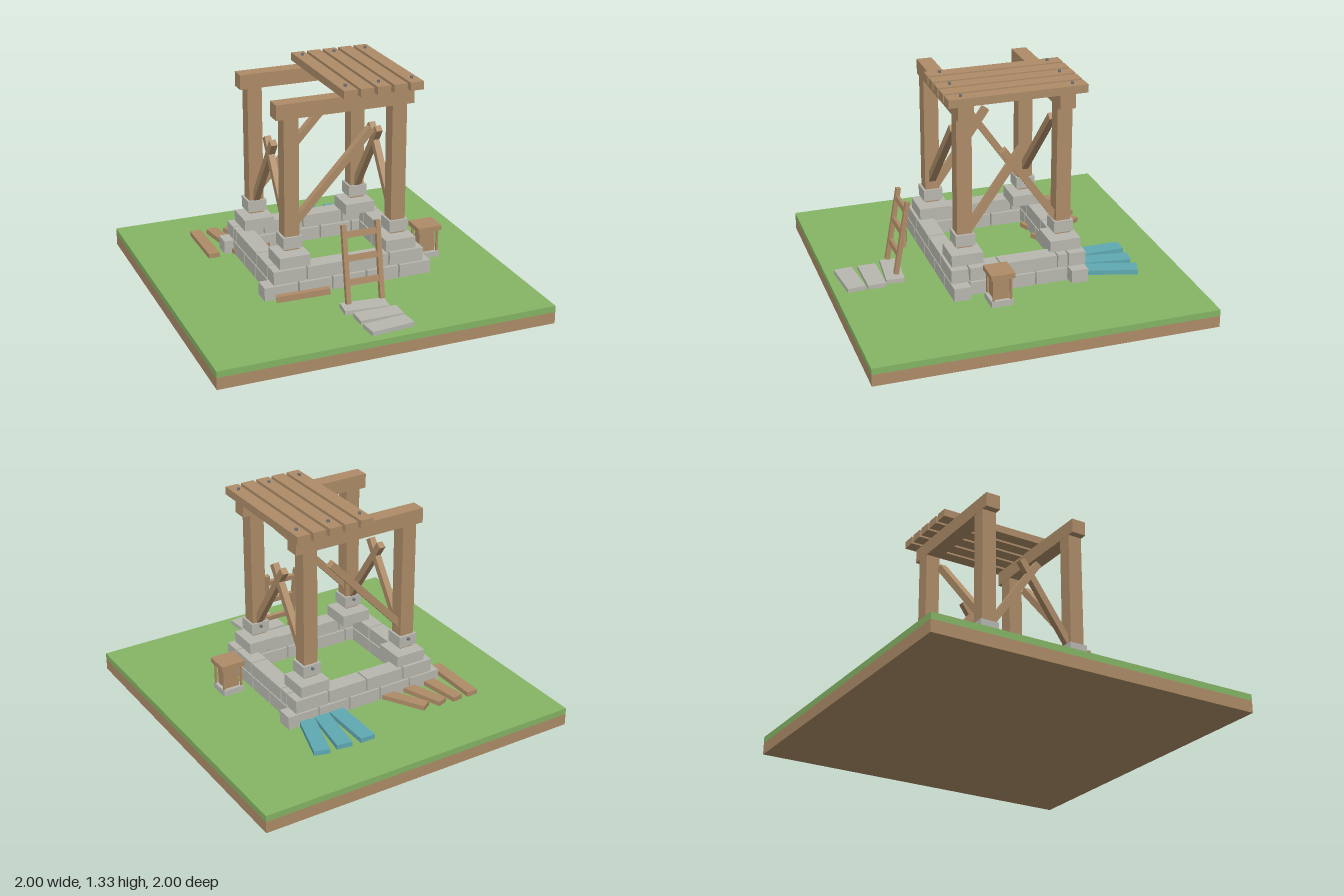
import * as THREE from 'three';

const mat = (name, color) => {
  const m = new THREE.MeshStandardMaterial({ color });
  m.name = name;
  return m;
};

export function createModel() {
  const wood = mat('wood', 0xae8c68);
  const stone = mat('stone', 0xb8b8b0);
  const grass = mat('grass', 0x85b565);
  const blue = mat('blue paint', 0x5fa9b2);
  const iron = mat('iron', 0x70757a);

  const model = new THREE.Group();
  model.name = 'timberFrameSite';
  const section = (name) => {
    const g = new THREE.Group();
    g.name = name;
    model.add(g);
    return g;
  };
  // box by size, centre and rotation
  const box = (parent, name, material, size, pos, rot = [0, 0, 0]) => {
    const m = new THREE.Mesh(new THREE.BoxGeometry(...size), material);
    m.name = name;
    m.position.set(...pos);
    m.rotation.set(...rot);
    parent.add(m);
    return m;
  };
  // box by minimum and maximum corners
  const span = (parent, name, material, a, b) =>
    box(parent, name, material, b.map((v, i) => v - a[i]), b.map((v, i) => (v + a[i]) / 2));

  // ground slab
  const ground = section('ground');
  span(ground, 'soil', wood, [-1, 0, -1], [1, 0.07, 1]);
  span(ground, 'turf', grass, [-1, 0.07, -1], [1, 0.108, 1]);

  // two courses of stone, with end blocks overhanging in the lower course
  const wall = section('foundation');
  const courses = [
    { y: [0.143, 0.222], x: [-0.52, -0.31, -0.105, 0.105, 0.31, 0.515], z: [-0.295, -0.1, 0.1, 0.295] },
    { y: [0.23, 0.31], x: [-0.465, -0.26, -0.01, 0.245, 0.465], z: [-0.295, -0.23, 0.11, 0.295] },
  ];
  for (const { y, x, z } of courses) {
    for (const s of [-1, 1]) {
      for (let i = 0; i + 1 < x.length; i++) {
        span(wall, 'wallStone', stone, [x[i] + 0.005, y[0], s * 0.35 - 0.05], [x[i + 1] - 0.005, y[1], s * 0.35 + 0.05]);
      }
      for (let i = 0; i + 1 < z.length; i++) {
        span(wall, 'wallStone', stone, [s * 0.41 - 0.05, y[0], z[i] + 0.004], [s * 0.41 + 0.05, y[1], z[i + 1] - 0.004]);
      }
    }
  }

  // posts on corner stones with bolted collars
  const frame = section('frame');
  const boltGeo = new THREE.CylinderGeometry(0.009, 0.009, 0.014, 8);
  const bolt = (parent, name, pos, rx = 0) => {
    const m = new THREE.Mesh(boltGeo, iron);
    m.name = name;
    m.position.set(...pos);
    m.rotation.x = rx;
    parent.add(m);
  };
  for (const sx of [-1, 1]) {
    for (const sz of [-1, 1]) {
      const x = sx * 0.325, z = sz * 0.293;
      box(wall, 'cornerStone', stone, [0.185, 0.068, 0.185], [x, 0.346, z]);
      box(frame, 'post', wood, [0.088, 0.78, 0.088], [x, 0.79, z]);
      box(frame, 'collar', stone, [0.115, 0.07, 0.115], [x, 0.448, z]);
      bolt(frame, 'collarBolt', [x, 0.462, z - 0.063], Math.PI / 2);
    }
  }

  // top beams and diagonal braces
  for (const s of [-1, 1]) {
    box(frame, 'topBeam', wood, [0.825, 0.088, 0.09], [0, 1.22, s * 0.293]);
    box(frame, 'longBrace', wood, [0.042, 0.69, 0.042], [-0.065, 0.795, s * 0.293], [0, 0, -0.75]);
    for (const t of [-1, 1]) {
      box(frame, 'crossBrace', wood, [0.038, 0.56, 0.042], [s * 0.325, 0.715, t * 0.105], [-t * 0.61, 0, 0]);
    }
  }

  // roof planks, every second one nailed
  const roof = section('roof');
  for (let i = 0; i < 5; i++) {
    const x = i * 0.1;
    box(roof, 'roofPlank', wood, [0.08, 0.047, 0.8], [x, 1.294, 0]);
    if (i % 2 === 0) for (const z of [-0.32, 0.32]) bolt(roof, 'roofNail', [x, 1.324, z]);
  }

  // leaning ladder
  const ladder = section('ladder');
  ladder.position.set(-0.003, 0.378, 0.588);
  ladder.rotation.x = -0.175;
  for (const s of [-1, 1]) box(ladder, 'rail', wood, [0.027, 0.45, 0.027], [s * 0.102, 0, 0]);
  for (const y of [-0.105, 0.033, 0.168]) box(ladder, 'rung', wood, [0.2, 0.032, 0.022], [0, y, 0]);

  // stepping stones
  const path = section('path');
  for (const [x, z, a] of [[-0.005, 0.625, -0.1], [0.023, 0.753, 0], [0.025, 0.885, 0.09]]) {
    box(path, 'steppingStone', stone, [0.26, 0.026, 0.107], [x, 0.122, z], [0, a, 0]);
  }

  // loose boards
  const boards = section('looseBoards');
  for (const [x, z, a] of [[-0.59, -0.455, 0], [-0.459, -0.457, 0.157], [-0.325, -0.454, 0.35], [-0.19, -0.455, 0.52]]) {
    box(boards, 'looseBoard', wood, [0.068, 0.028, 0.37], [x, 0.157, z], [0, a, 0]);
  }
  for (const [x, z, a] of [[0.195, -0.565, 0], [0.319, -0.56, -0.15], [0.437, -0.557, -0.29]]) {
    box(boards, 'blueBoard', blue, [0.092, 0.028, 0.33], [x, 0.16, z], [0, a, 0]);
  }
  box(boards, 'tiltedBoard', wood, [0.305, 0.036, 0.035], [-0.313, 0.182, 0.472], [0, -0.26, 0.12]);

  // small stand with a stone base
  const stand = section('stand');
  stand.position.set(0.587, 0, 0.163);
  box(stand, 'standBase', stone, [0.13, 0.036, 0.13], [0, 0.167, 0]);
  box(stand, 'standCore', wood, [0.088, 0.135, 0.088], [0, 0.25, 0]);
  box(stand, 'standLid', wood, [0.15, 0.03, 0.14], [0, 0.335, 0]);
  for (const sx of [-1, 1]) {
    for (const sz of [-1, 1]) {
      box(stand, 'standPost', wood, [0.012, 0.135, 0.012], [sx * 0.056, 0.252, sz * 0.05]);
    }
  }
  return model;
}
